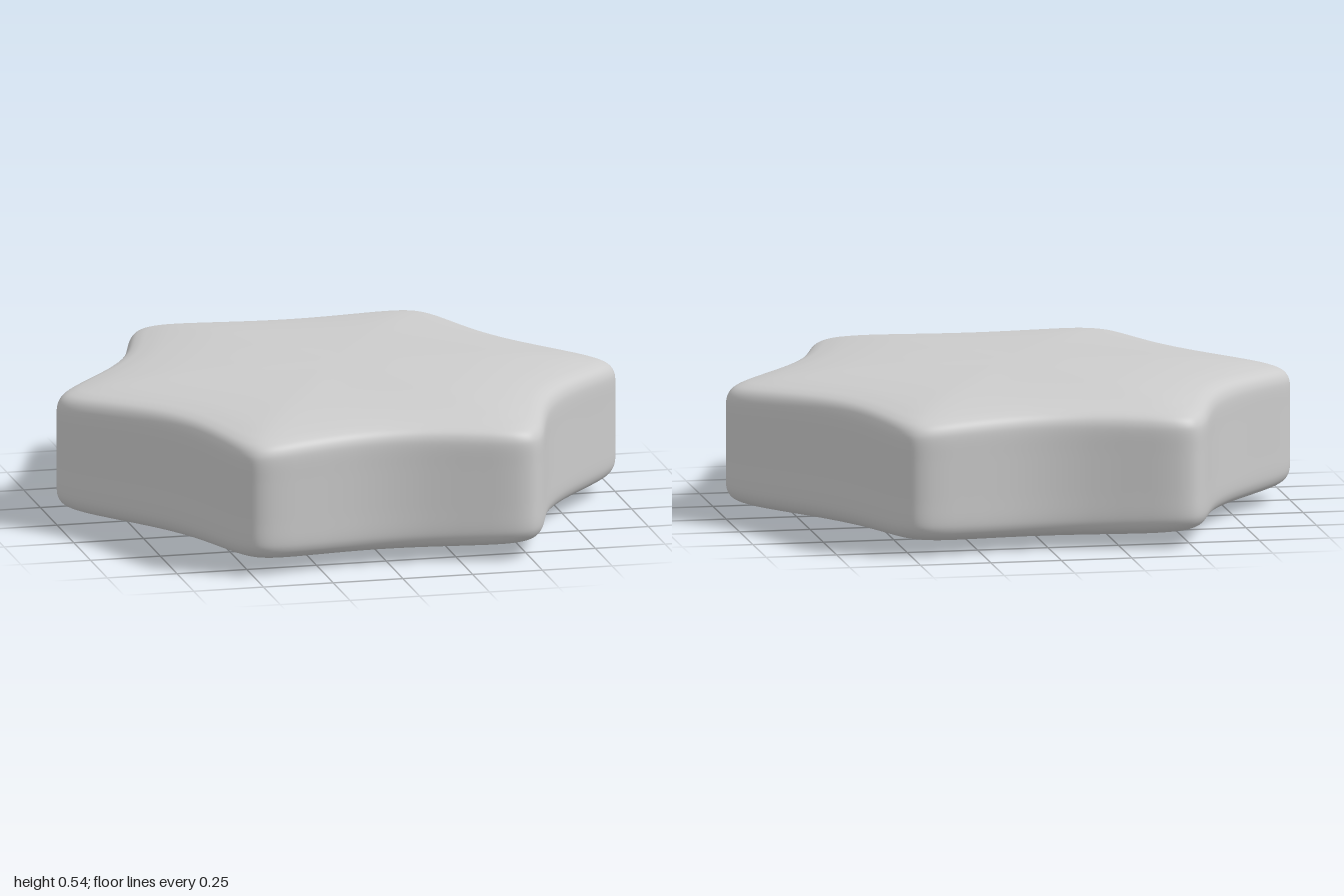
import * as THREE from 'three';

// Closed six-pointed outline: one side (u along it, v outward) turned six times
function starOutline(count) {
  const side = [[-0.46, 0.877], [-0.4, 0.873], [-0.3, 0.851], [-0.2, 0.828], [-0.1, 0.811], [0, 0.805],
    [0.1, 0.811], [0.2, 0.828], [0.3, 0.851], [0.4, 0.873], [0.46, 0.877], [0.5, 0.866]];
  const points = [];
  for (let k = 0; k < 6; k++) {
    const a = k * Math.PI / 3;
    for (const [u, v] of side) {
      const x = -u, y = v; // counterclockwise
      points.push(new THREE.Vector3(x * Math.cos(a) - y * Math.sin(a), x * Math.sin(a) + y * Math.cos(a), 0));
    }
  }
  return new THREE.CatmullRomCurve3(points, true).getPoints(count).slice(0, count);
}

// Pillow profile: outline scale against height from the middle
function pillowProfile() {
  const upper = [[1, 0.07], [1, 0.14], [0.993, 0.172], [0.975, 0.194], [0.945, 0.208], [0.9, 0.219],
    [0.8, 0.235], [0.6, 0.253], [0.3, 0.264], [0.08, 0.267]];
  const lower = upper.map(([s, h]) => [s, -h]).reverse();
  const points = [...lower, [1, 0], ...upper].map(([s, h]) => new THREE.Vector2(s, h));
  return new THREE.SplineCurve(points).getPoints(80);
}

function starGeometry() {
  const count = 288, middle = 0.2675;
  const outline = starOutline(count), profile = pillowProfile();
  const positions = [], index = [];
  for (const p of profile) {
    for (const o of outline) {
      // the rim sits slightly higher between the points
      const lift = 1 + 0.35 * (1 - o.length()) * Math.pow(p.x, 4);
      positions.push(o.x * p.x, middle + p.y * lift, -o.y * p.x);
    }
  }
  const rings = profile.length;
  for (let j = 0; j < rings - 1; j++) {
    for (let i = 0; i < count; i++) {
      const n = (i + 1) % count;
      const a = j * count + i, b = j * count + n, c = b + count, d = a + count;
      index.push(a, b, c, a, c, d);
    }
  }
  // close the bottom and the top with a centre point each
  const bottom = rings * count, top = bottom + 1, last = (rings - 1) * count;
  positions.push(0, 0, 0, 0, 2 * middle, 0);
  for (let i = 0; i < count; i++) {
    const n = (i + 1) % count;
    index.push(bottom, n, i, top, last + i, last + n);
  }
  const geometry = new THREE.BufferGeometry();
  geometry.setAttribute('position', new THREE.Float32BufferAttribute(positions, 3));
  geometry.setIndex(index);
  geometry.computeVertexNormals();
  return geometry;
}

export function createModel() {
  const group = new THREE.Group();
  const body = new THREE.Mesh(starGeometry(), new THREE.MeshStandardMaterial({ color: 0xcccccc }));
  body.name = 'starBody';
  group.add(body);
  return group;
}
